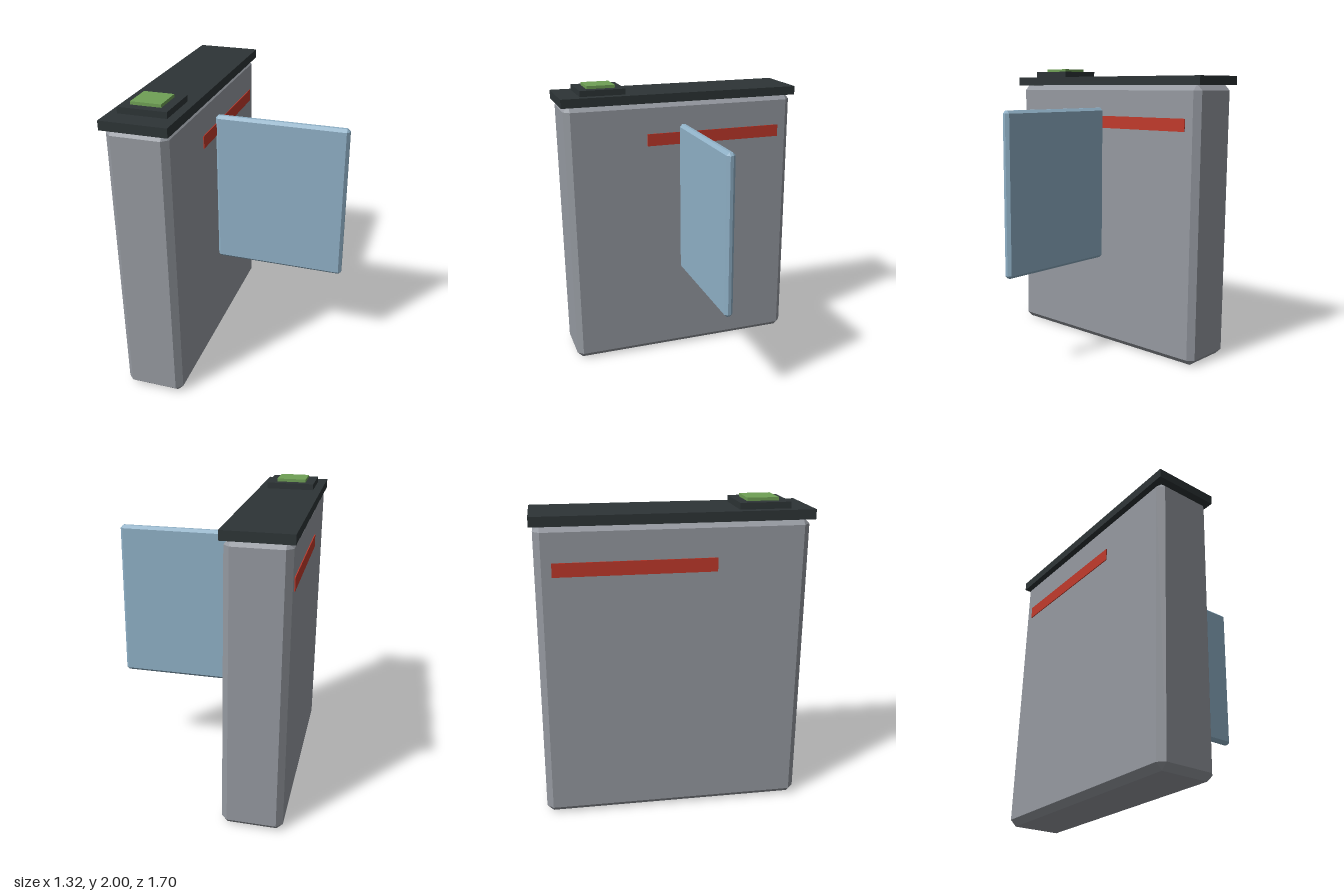
import * as THREE from 'three';
import { ConvexGeometry } from 'three/addons/geometries/ConvexGeometry.js';

const material = (name, color) => {
  const m = new THREE.MeshStandardMaterial({ color });
  m.name = name;
  return m;
};

// Box with flat chamfers on every edge: three points around each corner
function chamferedBox(w, h, d, c) {
  const points = [];
  for (const sx of [-1, 1]) for (const sy of [-1, 1]) for (const sz of [-1, 1]) {
    const x = w / 2, y = h / 2, z = d / 2;
    points.push(
      new THREE.Vector3(sx * x, sy * (y - c), sz * (z - c)),
      new THREE.Vector3(sx * (x - c), sy * y, sz * (z - c)),
      new THREE.Vector3(sx * (x - c), sy * (y - c), sz * z)
    );
  }
  return new ConvexGeometry(points);
}

export function createModel() {
  const grey = material('cabinet grey', 0x9599a0);
  const dark = material('charcoal', 0x2d3436);
  const blue = material('panel blue', 0x8fb0c6);
  const red = material('stripe red', 0xc0392b);
  const green = material('reader green', 0x6fa055);

  const group = new THREE.Group();
  group.name = 'turnstileGate';

  // Place a part by its limits on each axis, with an optional chamfer
  const add = (name, mat, [x0, x1], [y0, y1], [z0, z1], chamfer = 0) => {
    const size = [x1 - x0, y1 - y0, z1 - z0];
    const geometry = chamfer ? chamferedBox(...size, chamfer) : new THREE.BoxGeometry(...size);
    const mesh = new THREE.Mesh(geometry, mat);
    mesh.name = name;
    mesh.position.set((x0 + x1) / 2, (y0 + y1) / 2, (z0 + z1) / 2);
    group.add(mesh);
  };

  // Cabinet and its overhanging lid
  add('cabinet', grey, [-0.645, -0.247], [0, 1.885], [-0.83, 0.83], 0.04);
  add('lid', dark, [-0.66, -0.23], [1.88, 1.94], [-0.85, 0.85]);

  // Card reader on the front end of the lid
  add('readerBase', dark, [-0.605, -0.288], [1.94, 1.98], [0.395, 0.71]);
  add('readerPad', green, [-0.545, -0.348], [1.98, 2.0], [0.453, 0.65]);

  // Stripes on both long sides
  add('rightStripe', red, [-0.651, -0.644], [1.58, 1.665], [-0.73, 0.26]);
  add('leftStripe', red, [-0.248, -0.241], [1.58, 1.665], [-0.73, 0.26]);

  // Swinging barrier panel
  add('barrierPanel', blue, [-0.25, 0.657], [0.637, 1.722], [-0.029, 0.029], 0.019);

  return group;
}
